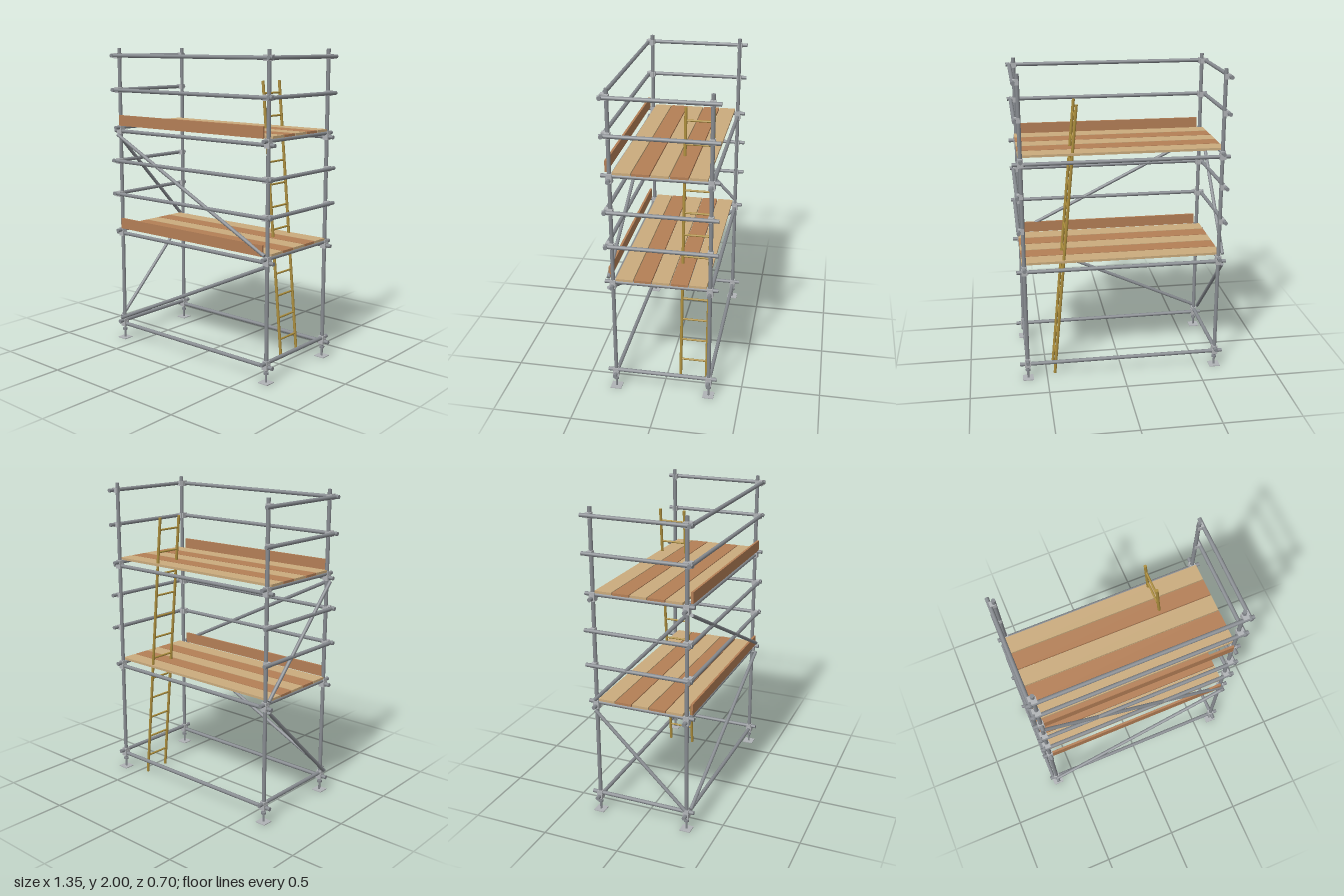
import * as THREE from 'three';

const mat = (name, color) => {
  const m = new THREE.MeshStandardMaterial({ color });
  m.name = name;
  return m;
};

export function createModel() {
  const steel = mat('steel tube', 0x878b90);
  const fitting = mat('galvanised fitting', 0xb0b3b6);
  const tan = mat('tan timber', 0xcaab7d);
  const brown = mat('brown timber', 0xb47f56);
  const pole = mat('ladder timber', 0xab8d3c);

  const root = new THREE.Group();
  root.name = 'scaffoldTower';
  const X = 0.625, Z = 0.3, R = 0.0125;
  const railX = X + 0.027, railZ = Z + 0.029;

  // Straight tube between two points
  const tube = (name, a, b, r = R, m = steel, parent = root) => {
    const p = new THREE.Vector3(...a), q = new THREE.Vector3(...b);
    const d = q.clone().sub(p);
    const mesh = new THREE.Mesh(new THREE.CylinderGeometry(r, r, d.length(), 12), m);
    mesh.position.copy(p).add(q).multiplyScalar(0.5);
    mesh.quaternion.setFromUnitVectors(new THREE.Vector3(0, 1, 0), d.normalize());
    mesh.name = name;
    parent.add(mesh);
    return mesh;
  };
  const box = (name, w, h, d, x, y, z, m) => {
    const mesh = new THREE.Mesh(new THREE.BoxGeometry(w, h, d), m);
    mesh.position.set(x, y, z);
    mesh.name = name;
    root.add(mesh);
    return mesh;
  };

  const frameLevels = [0.103, 0.752, 1.453];
  const guardLevels = [1.027, 1.252, 1.727, 1.952];

  // Standards on screw jacks and base plates
  for (const x of [-X, X]) for (const z of [-Z, Z]) {
    tube('standard', [x, 0.085, z], [x, 2, z]);
    tube('jackScrew', [x, 0.004, z], [x, 0.1, z], 0.007);
    tube('jackNut', [x, 0.056, z], [x, 0.07, z], 0.016);
    box('basePlate', 0.07, 0.005, 0.07, x, 0.0025, z, fitting);
  }

  // Ledgers with transoms resting on them, clamped at each standard
  for (const y of frameLevels) {
    for (const z of [-Z, Z]) {
      tube('ledger', [-0.675, y, z], [0.675, y, z]);
      for (const x of [-X, X]) {
        box('ledgerCoupler', 0.038, 0.036, 0.038, x, y, z, fitting);
        box('transomCoupler', 0.034, 0.03, 0.034, x, y + 0.024, z, fitting);
      }
    }
    for (const x of [-X, X]) tube('transom', [x, y + 0.024, -0.35], [x, y + 0.024, 0.35]);
  }

  // Guard rails on the front and both ends
  for (const y of guardLevels) {
    tube('frontGuardRail', [-0.675, y, railZ], [0.675, y, railZ]);
    for (const s of [-1, 1]) {
      tube('endGuardRail', [s * railX, y, -0.35], [s * railX, y, 0.345]);
      box('frontRailCoupler', 0.036, 0.036, 0.044, s * X, y, Z + 0.014, fitting);
      for (const z of [-Z, Z]) {
        box('endRailCoupler', 0.036, 0.032, 0.032, s * (X + 0.01), y, z, fitting);
      }
    }
  }

  // Diagonal braces on the front and the right end
  for (const [yA, yB] of [[0.15, 0.73], [1.43, 0.8]]) {
    tube('frontBrace', [-X, yA, railZ], [X, yB, railZ], 0.0115);
    tube('endBrace', [-railX, yA, Z], [-railX, yB, -Z], 0.0115);
  }

  // Plank decks and toe boards
  for (const y of [0.797, 1.497]) {
    for (let i = 0; i < 5; i++) {
      box('deckPlank', 1.28, 0.015, 0.107, 0, y, (i - 2) * 0.113, i % 2 ? brown : tan);
    }
    box('toeBoard', 1.215, 0.07, 0.014, 0, y + 0.03, 0.324, brown);
  }

  // Leaning ladder
  const ladder = new THREE.Group();
  ladder.name = 'ladder';
  root.add(ladder);
  const ladderX = (y) => 0.447 - 0.0945 * y;
  const zA = -0.089, zB = -0.259;
  for (const z of [zA, zB]) {
    tube('ladderRail', [ladderX(0), 0.001, z], [ladderX(1.8), 1.8, z], 0.0095, pole, ladder);
  }
  for (let i = 0; i < 12; i++) {
    const y = 0.126 + i * 0.145;
    tube('ladderRung', [ladderX(y), y, zA], [ladderX(y), y, zB], 0.0065, pole, ladder);
  }

  return root;
}
